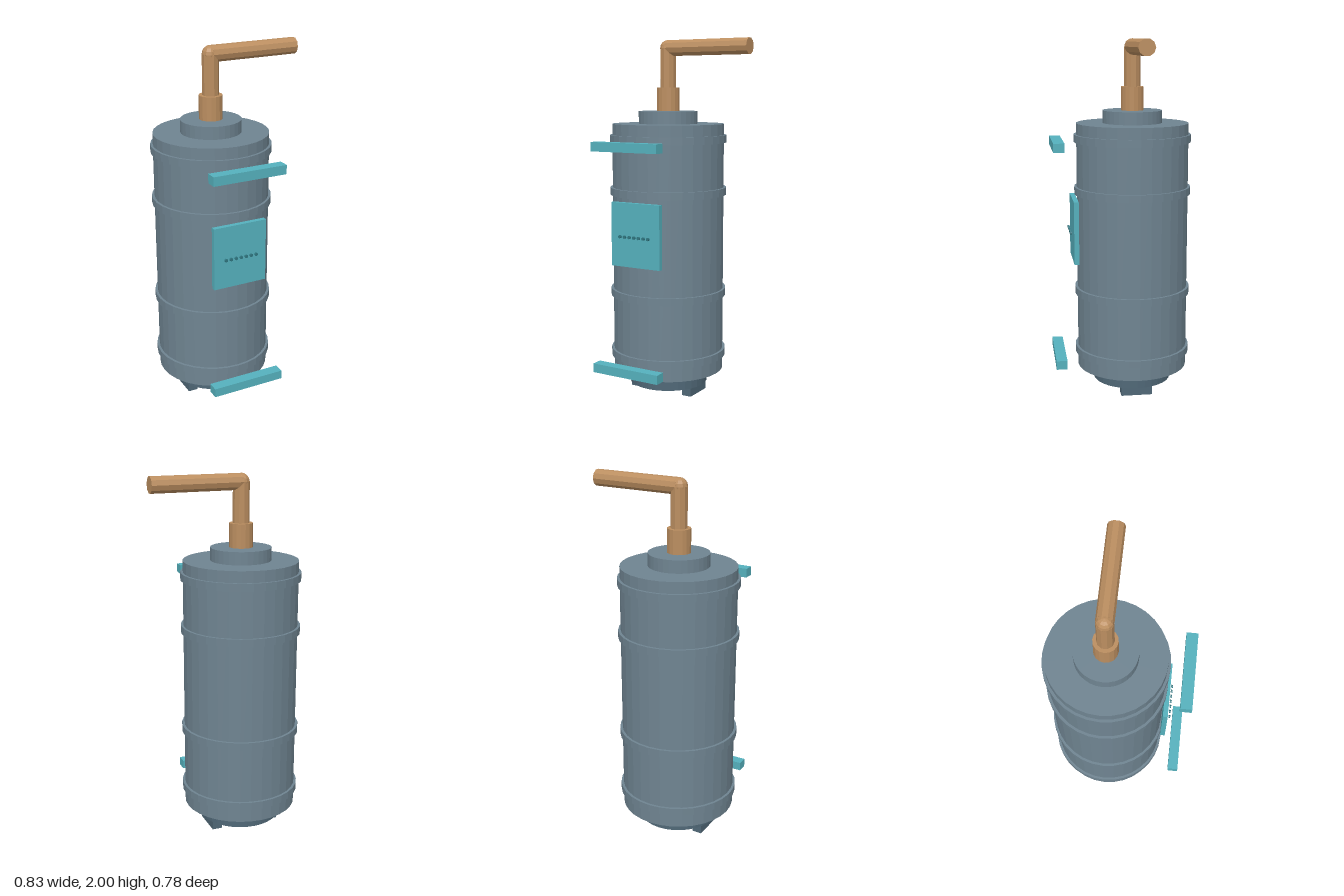
import * as THREE from 'three';

export function createModel() {
  const model = new THREE.Group();
  model.name = 'pressureTank';

  const material = (name, color) => {
    const m = new THREE.MeshStandardMaterial({ color, flatShading: true });
    m.name = name;
    return m;
  };
  const steel = material('greySteel', 0x6f8491);
  const darkSteel = material('darkSteel', 0x506877);
  const copper = material('copper', 0xbb8e60);
  const teal = material('teal', 0x55b1bd);
  const darkTeal = material('darkTeal', 0x2f7680);

  // Axis shared by the tank and its pipe
  const X = -0.09, Z = -0.064;

  const add = (name, geometry, mat, x, y, z) => {
    const mesh = new THREE.Mesh(geometry, mat);
    mesh.name = name;
    mesh.position.set(x, y, z);
    model.add(mesh);
    return mesh;
  };
  const drum = (name, r, y0, y1, sides, mat) =>
    add(name, new THREE.CylinderGeometry(r, r, y1 - y0, sides), mat, X, (y0 + y1) / 2, Z);
  const box = (name, mat, x0, x1, y0, y1, z0, z1) =>
    add(name, new THREE.BoxGeometry(x1 - x0, y1 - y0, z1 - z0), mat,
      (x0 + x1) / 2, (y0 + y1) / 2, (z0 + z1) / 2);

  // Tank body, lid and base
  drum('tankBody', 0.315, 0.132, 1.54, 32, steel);
  drum('lid', 0.166, 1.54, 1.61, 32, steel);
  drum('base', 0.223, 0.05, 0.132, 32, darkSteel);

  // Reinforcing bands
  for (const y of [0.232, 0.585, 1.163, 1.457]) {
    drum('band', 0.329, y - 0.021, y + 0.021, 32, steel);
  }

  // Feet
  for (const side of [-1, 1]) {
    const x = X + side * 0.173;
    box('foot', darkSteel, x - 0.028, x + 0.028, 0, 0.05, Z - 0.088, Z + 0.088);
  }

  // Outlet collar and bent pipe
  const pipeY = 1.957, r = 0.045, endX = 0.416;
  drum('collar', 0.064, 1.61, 1.74, 16, copper);
  drum('risingPipe', r, 1.74, pipeY, 10, copper);
  add('elbow', new THREE.SphereGeometry(r, 10, 8), copper, X, pipeY, Z);
  const outlet = add('outletPipe', new THREE.CylinderGeometry(r, r, endX - X, 10), copper,
    (X + endX) / 2, pipeY, Z);
  outlet.rotation.z = -Math.PI / 2;

  // Front panel with a row of studs
  box('panel', teal, -0.244, 0.065, 0.77, 1.122, 0.253, 0.28);
  for (let i = -3; i <= 3; i++) {
    const stud = add('stud', new THREE.CylinderGeometry(0.009, 0.009, 0.01, 8), darkTeal,
      X + i * 0.03, 0.937, 0.293);
    stud.rotation.x = Math.PI / 2;
  }

  // Mounting bars
  for (const y of [0.205, 1.427]) {
    box('mountingBar', teal, -0.298, 0.118, y - 0.025, y + 0.025, 0.33, 0.391);
  }

  return model;
}
